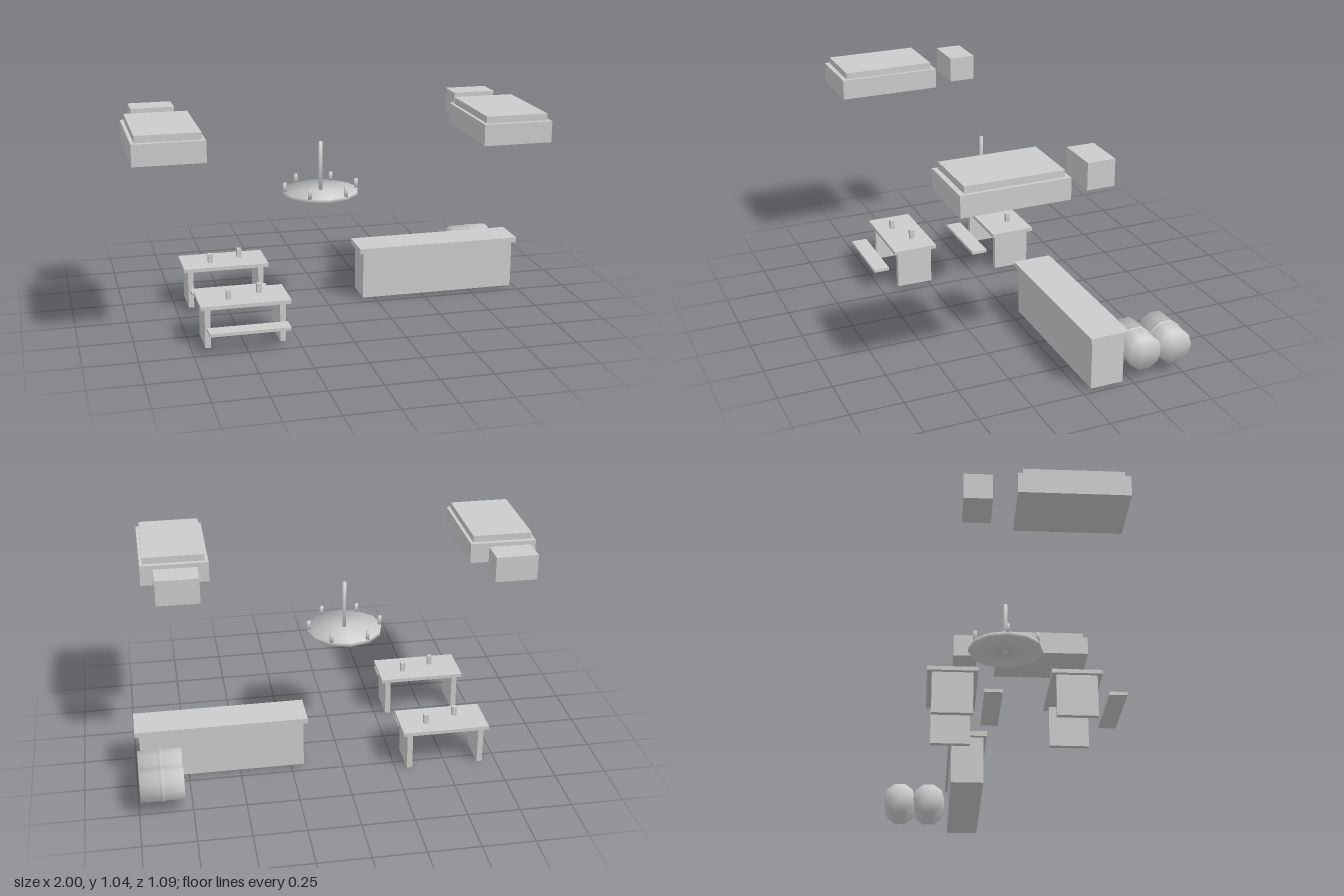
import * as THREE from 'three';

const stone = new THREE.MeshStandardMaterial({ color: 0xcccccc });
stone.name = 'pale grey';

// Box given by its minimum and maximum corners
function box(name, [x0, y0, z0], [x1, y1, z1]) {
  const mesh = new THREE.Mesh(new THREE.BoxGeometry(x1 - x0, y1 - y0, z1 - z0), stone);
  mesh.position.set((x0 + x1) / 2, (y0 + y1) / 2, (z0 + z1) / 2);
  mesh.name = name;
  return mesh;
}

// Upright cylinder whose rim normals blend softly from side to cap
function softCylinder(name, radius, height, sides) {
  const geo = new THREE.CylinderGeometry(radius, radius, height, sides);
  const p = geo.attributes.position;
  const v = new THREE.Vector3();
  for (let i = 0; i < p.count; i++) {
    v.set(p.getX(i) / radius, Math.sign(p.getY(i)) * 0.85, p.getZ(i) / radius).normalize();
    geo.attributes.normal.setXYZ(i, v.x, v.y, v.z);
  }
  const mesh = new THREE.Mesh(geo, stone);
  mesh.name = name;
  return mesh;
}

function group(name, ...parts) {
  const g = new THREE.Group();
  g.name = name;
  g.add(...parts);
  return g;
}

// Bed with mattress and a nightstand behind it
function makeBed(x) {
  const bed = group('bed',
    box('bedBase', [-0.162, 0.911, 0.045], [0.162, 1.01, 0.542]),
    box('mattress', [-0.146, 1.01, 0.068], [0.146, 1.042, 0.519]),
    box('nightstand', [-0.102, 0.911, -0.19], [0.102, 1.036, -0.06]));
  bed.position.x = x;
  return bed;
}

// Table on two slab legs, with a bench and two mugs
function makeTable(z) {
  const table = group('table',
    box('tableTop', [-0.705, 0.19, 0.207], [-0.283, 0.208, 0.429]),
    box('legRight', [-0.685, 0, 0.228], [-0.658, 0.19, 0.407]),
    box('legLeft', [-0.333, 0, 0.228], [-0.306, 0.19, 0.407]),
    box('bench', [-0.682, 0.101, 0.455], [-0.307, 0.116, 0.534]),
    box('mug', [-0.575, 0.208, 0.336], [-0.552, 0.254, 0.359]),
    box('mug', [-0.421, 0.208, 0.282], [-0.398, 0.254, 0.305]));
  table.position.z = z;
  return table;
}

// Barrel lying along x, with a hoop round its middle
function makeBarrel(z) {
  const barrel = group('barrel',
    softCylinder('barrelBody', 0.082, 0.205, 10),
    softCylinder('barrelHoop', 0.0855, 0.02, 10));
  barrel.rotation.z = Math.PI / 2;
  barrel.position.set(0.888, 0.133, z);
  return barrel;
}

// Hanging wheel with a rod and six candles
function makeChandelier() {
  const wheel = softCylinder('chandelierWheel', 0.184, 0.02, 12);
  wheel.position.y = 0.608;
  const rod = softCylinder('chandelierRod', 0.01, 0.271, 6);
  rod.position.y = 0.7205;
  const chandelier = group('chandelier', wheel, rod);
  for (let i = 0; i < 6; i++) {
    const a = i * Math.PI / 3;
    const candle = softCylinder('candle', 0.01, 0.046, 6);
    candle.position.set(Math.cos(a) * 0.176, 0.638, Math.sin(a) * 0.176);
    chandelier.add(candle);
  }
  chandelier.position.set(-0.055, 0, 0.049);
  return chandelier;
}

export function createModel() {
  return group('tavernFurniture',
    makeBed(-0.837), makeBed(0.753),
    makeTable(0), makeTable(-0.538),
    group('barCounter',
      box('counterBody', [0.188, 0.007, -0.203], [0.977, 0.245, -0.045]),
      box('counterTop', [0.168, 0.244, -0.217], [0.997, 0.27, -0.03])),
    makeBarrel(-0.306), makeBarrel(-0.459),
    makeChandelier());
}
